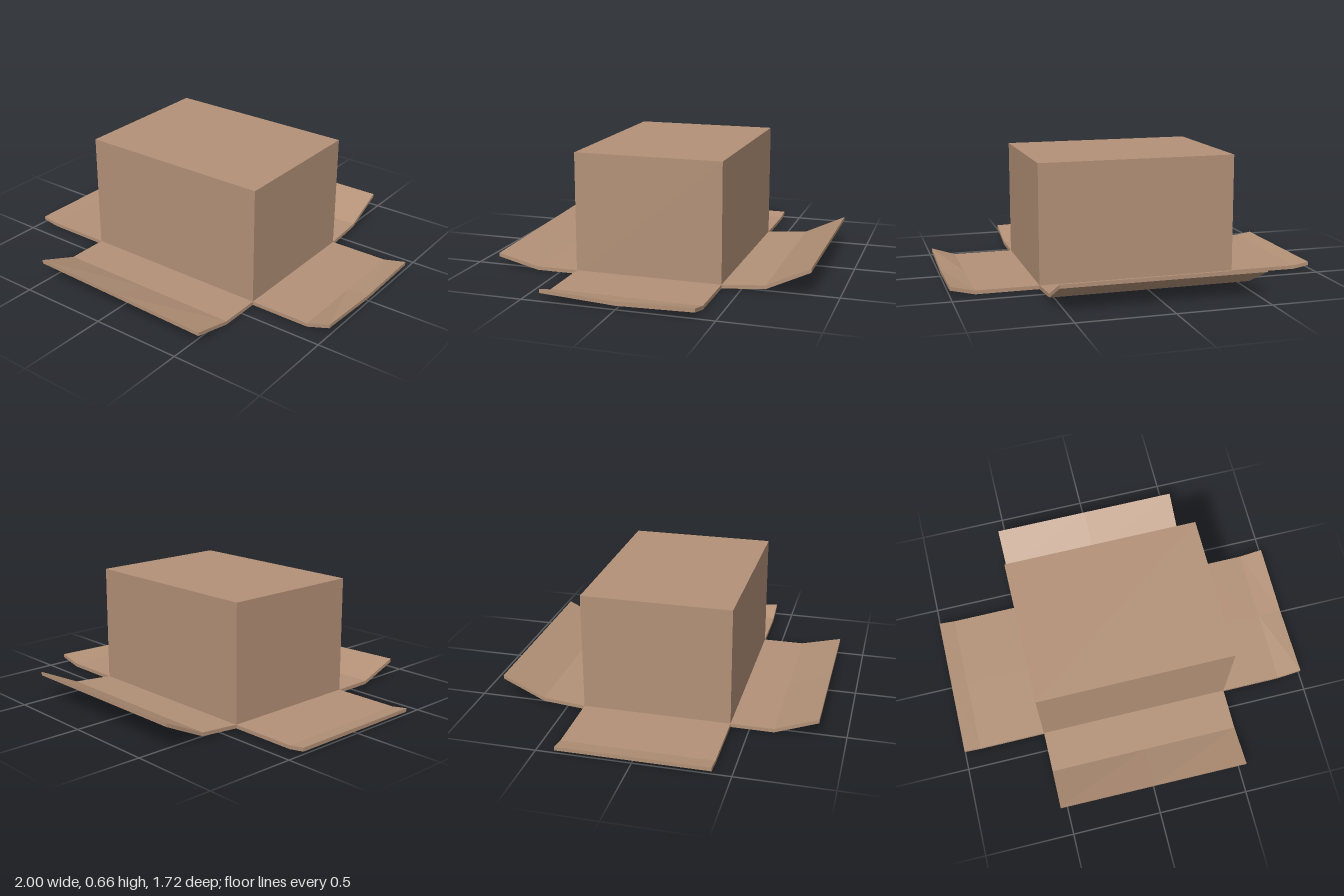
import * as THREE from 'three';

const HALF_X = 0.537, HALF_Z = 0.4, HEIGHT = 0.66, THICK = 0.02;

// Folded flap pointing along +z: flat part to the crease, then an outer part
// whose edge is lifted by a separate amount at its two ends and middle.
function flapGeometry(width, rows, creaseLift, edgeLifts) {
  const g = new THREE.BoxGeometry(width, THICK, 2, 2, 1, 2);
  const p = g.attributes.position;
  for (let i = 0; i < p.count; i++) {
    const row = Math.round(p.getZ(i) + 1);
    const col = Math.round(p.getX(i) / (width / 2) + 1);
    const lift = [0, creaseLift, edgeLifts[col]][row];
    p.setY(i, p.getY(i) + THICK / 2 + lift);
    p.setZ(i, rows[row]);
  }
  return g;
}

export function createModel() {
  const model = new THREE.Group();
  model.name = 'upturnedBox';
  const cardboard = new THREE.MeshStandardMaterial({ color: 0xb39177 });
  cardboard.name = 'cardboard';
  cardboard.flatShading = true;
  cardboard.side = THREE.DoubleSide;

  // Hollow body, open underneath: drop the bottom face of a box
  const body = new THREE.BoxGeometry(HALF_X * 2, HEIGHT, HALF_Z * 2);
  const index = Array.from(body.index.array);
  index.splice(18, 6);
  body.setIndex(index);
  body.clearGroups();
  body.translate(0, HEIGHT / 2, 0);
  const bodyMesh = new THREE.Mesh(body, cardboard);
  bodyMesh.name = 'boxBody';
  model.add(bodyMesh);

  // Four flaps spread out around the opening
  const flaps = [
    ['frontFlap', 0, HALF_X, [HALF_Z, 0.63, 0.858], 0, [0.085, 0.07, 0.055]],
    ['leftFlap', Math.PI / 2, HALF_Z, [HALF_X, 0.87, 1], 0, [0.043, 0.02, 0.03]],
    ['backFlap', Math.PI, HALF_X, [HALF_Z, 0.63, 0.858], 0.02, [0.128, 0.128, 0.128]],
    ['rightFlap', -Math.PI / 2, HALF_Z, [HALF_X, 0.91, 1], 0, [0.014, 0.014, 0.014]],
  ];
  for (const [name, turn, half, rows, creaseLift, edgeLifts] of flaps) {
    const flap = new THREE.Mesh(flapGeometry(half * 2, rows, creaseLift, edgeLifts), cardboard);
    flap.name = name;
    flap.rotation.y = turn;
    model.add(flap);
  }
  return model;
}
